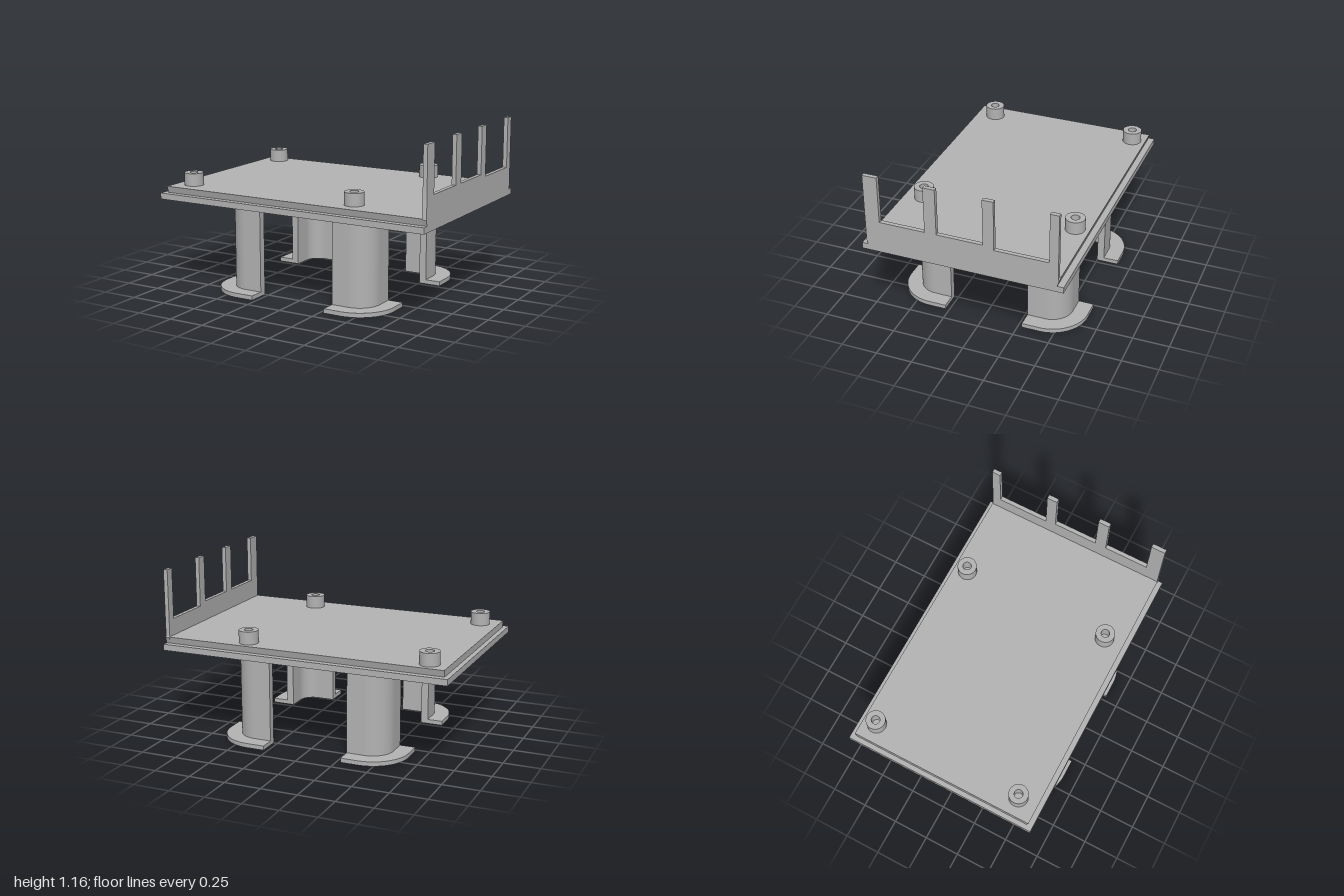
import * as THREE from 'three';
import { toCreasedNormals } from 'three/addons/utils/BufferGeometryUtils.js';

const grey = new THREE.MeshStandardMaterial({ color: 0xb3b3b3 });
grey.name = 'plain grey';

function addMesh(parent, name, geometry, x = 0, y = 0, z = 0) {
  const mesh = new THREE.Mesh(geometry, grey);
  mesh.name = name;
  mesh.position.set(x, y, z);
  parent.add(mesh);
  return mesh;
}

function extrude(shape, depth) {
  const g = new THREE.ExtrudeGeometry(shape, { depth, bevelEnabled: false, curveSegments: 16 });
  return toCreasedNormals(g, 0.5);
}

// Plan outline (x, z) raised from y = 0 to the given height
const raise = (shape, height) => extrude(shape, height).rotateX(Math.PI / 2).translate(0, height, 0);

// Side outline of [z, y] points swept along x
function sweepX(points, x0, x1) {
  const shape = new THREE.Shape(points.map(([z, y]) => new THREE.Vector2(-z, y)));
  return extrude(shape, x1 - x0).rotateY(Math.PI / 2).translate(x0, 0, 0);
}

// Rounded angle bracket in plan: from the inner to the outer wall, arms ending at e
function angleShape(e, inner, rIn, outer, rOut) {
  const s = new THREE.Shape();
  s.moveTo(e, outer);
  s.lineTo(e, inner);
  s.lineTo(inner - rIn, inner);
  s.absarc(inner - rIn, inner - rIn, rIn, Math.PI / 2, 0, true);
  s.lineTo(inner, e);
  s.lineTo(outer, e);
  s.lineTo(outer, outer - rOut);
  s.absarc(outer - rOut, outer - rOut, rOut, 0, Math.PI / 2, false);
  s.closePath();
  return s;
}

export function createModel() {
  const model = new THREE.Group();
  model.name = 'traySupport';

  // Base plate and its slightly undercut raised lip
  addMesh(model, 'basePlate', new THREE.BoxGeometry(2, 0.042, 1.366), 0, 0.639, 0);
  addMesh(model, 'raisedLip', sweepX(
    [[0.64, 0.66], [0.652, 0.705], [-0.652, 0.705], [-0.64, 0.66]], -0.967, 0.971));

  // End wall with four upright prongs
  addMesh(model, 'prongWall', sweepX([
    [0.64, 0.66], [0.653, 0.7], [0.649, 0.71], [0.649, 1.165], [0.55, 1.165],
    [0.55, 0.842], [0.238, 0.842], [0.238, 1.165], [0.158, 1.165],
    [0.158, 0.842], [-0.153, 0.842], [-0.153, 1.165], [-0.227, 1.165],
    [-0.227, 0.82], [-0.587, 0.82], [-0.587, 1.165], [-0.647, 1.165],
    [-0.647, 0.71], [-0.653, 0.7], [-0.64, 0.66],
  ], 0.971, 1));

  // Hollow standoffs
  const ring = new THREE.Shape().absarc(0, 0, 0.066, 0, Math.PI * 2);
  ring.holes.push(new THREE.Path().absarc(0, 0, 0.029, 0, Math.PI * 2));
  const standoff = raise(ring, 0.088);
  for (const x of [-0.84, 0.422])
    for (const z of [-0.556, 0.513]) addMesh(model, 'standoff', standoff, x, 0.704, z);

  // Four rounded corner legs, each with a flanged foot
  const legGeometry = raise(angleShape(0.278, 0.5, 0.1, 0.55, 0.15), 0.588);
  const footGeometry = raise(angleShape(0.278, 0.5, 0.1, 0.655, 0.255), 0.03);
  for (let i = 0; i < 4; i++) {
    const leg = new THREE.Group();
    leg.name = 'leg';
    leg.rotation.y = i * Math.PI / 2;
    addMesh(leg, 'legColumn', legGeometry, 0, 0.03, 0);
    addMesh(leg, 'foot', footGeometry);
    model.add(leg);
  }
  return model;
}
